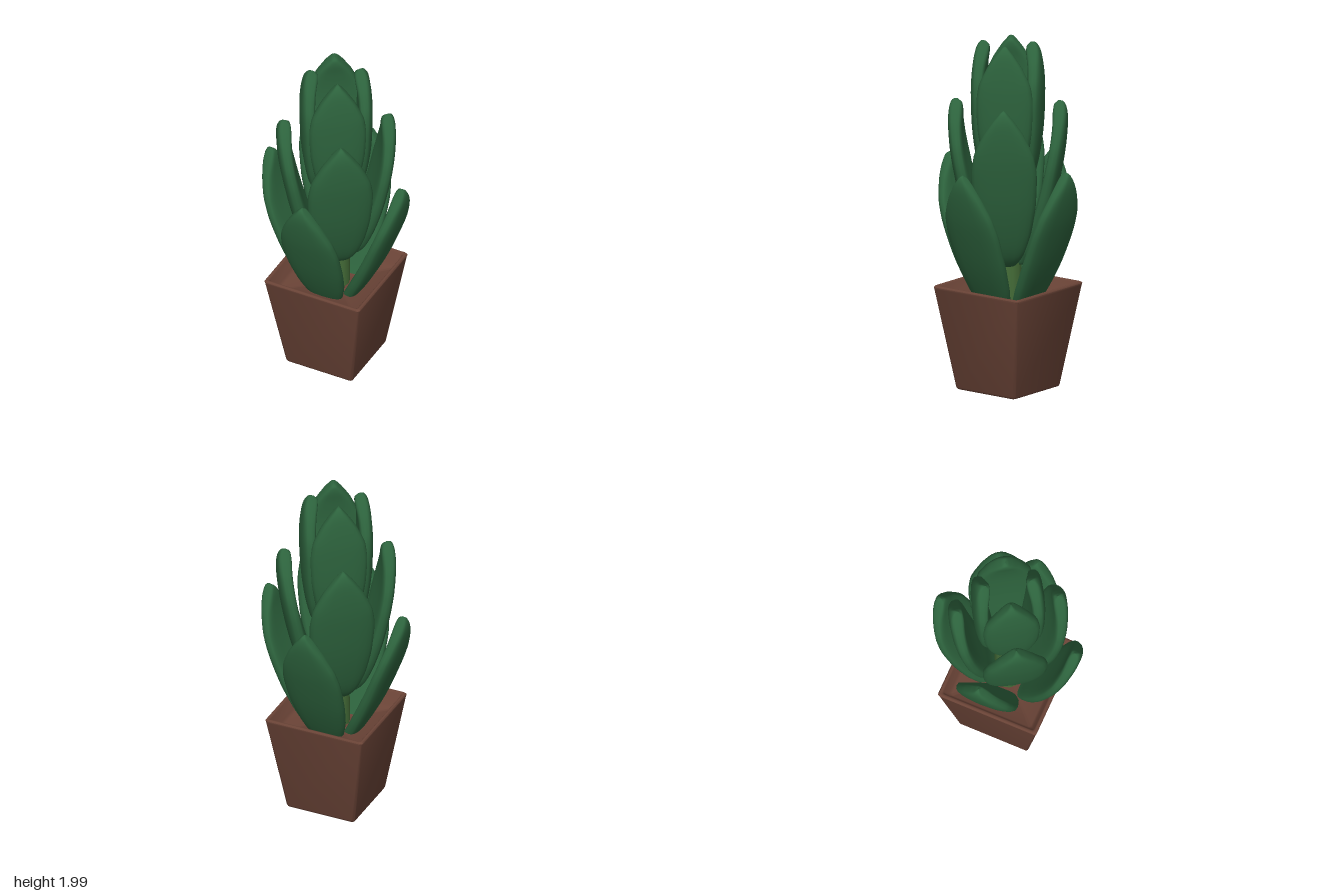
import * as THREE from 'three';
import { toCreasedNormals } from 'three/addons/utils/BufferGeometryUtils.js';

// Skin a stack of closed rings that all have the same number of points
function loft(rings) {
  const n = rings[0].length;
  const index = [];
  for (let i = 0; i < rings.length - 1; i++) {
    for (let j = 0; j < n; j++) {
      const k = (j + 1) % n;
      const a = i * n + j, b = i * n + k, c = a + n, d = b + n;
      index.push(a, c, b, b, c, d);
    }
  }
  const geometry = new THREE.BufferGeometry().setFromPoints(rings.flat());
  geometry.setIndex(index);
  geometry.computeVertexNormals();
  return geometry;
}

// Square ring with rounded corners
function squareRing(half, y) {
  const r = Math.min(0.015, half);
  const points = [];
  for (let corner = 0; corner < 4; corner++) {
    const mid = (corner + 0.5) * Math.PI / 2;
    const sx = Math.sign(Math.cos(mid)), sz = Math.sign(Math.sin(mid));
    for (let i = 0; i <= 4; i++) {
      const a = (corner + i / 4) * Math.PI / 2;
      points.push(new THREE.Vector3(
        sx * (half - r) + r * Math.cos(a), y, sz * (half - r) + r * Math.sin(a)));
    }
  }
  return points;
}

// Thick leaf growing from the origin, bowing outwards along +z
function leafGeometry(length, width, thickness) {
  // outward, up, half width, half thickness
  const stations = [
    [-0.03, 0, 0.03, 0.015], [0.015, 0.015, 0.06, 0.028], [0.062, 0.065, 0.097, 0.034],
    [0.128, 0.18, 0.137, 0.039], [0.207, 0.34, 0.165, 0.039], [0.273, 0.5, 0.173, 0.037],
    [0.315, 0.62, 0.158, 0.036], [0.345, 0.74, 0.106, 0.036], [0.357, 0.82, 0.054, 0.035],
    [0.36, 0.865, 0.018, 0.024], [0.358, 0.88, 0, 0],
  ];
  const spine = new THREE.CatmullRomCurve3(
    stations.map(([z, y]) => new THREE.Vector3(0, y * length, z * length)));
  const size = new THREE.CatmullRomCurve3(
    stations.map((s) => new THREE.Vector3(s[2] * width, s[3] * thickness, 0)));
  const soften = (v) => Math.sign(v) * Math.pow(Math.abs(v), 0.62);
  const rings = [];
  const steps = 40, sides = 20;
  for (let i = 0; i <= steps; i++) {
    const t = i / steps;
    const p = spine.getPoint(t), s = size.getPoint(t), tangent = spine.getTangent(t);
    const ring = [];
    for (let j = 0; j < sides; j++) {
      const a = j / sides * Math.PI * 2;
      const x = Math.max(s.x, 0) * soften(Math.cos(a));
      const out = Math.max(s.y, 0) * soften(Math.sin(a)) - 0.014 * (x / 0.17) ** 2;
      ring.push(new THREE.Vector3(x, p.y - tangent.z * out, p.z + tangent.y * out));
    }
    rings.push(ring);
  }
  const root = spine.getPoint(0);
  rings.unshift(rings[0].map(() => root));
  return loft(rings);
}

export function createModel() {
  const model = new THREE.Group();
  model.name = 'pottedSucculent';
  const clay = new THREE.MeshStandardMaterial({ color: 0x6b4437 });
  const green = new THREE.MeshStandardMaterial({ color: 0x2d633d });
  const olive = new THREE.MeshStandardMaterial({ color: 0x456d38 });

  const add = (name, geometry, material, parent = model) => {
    const mesh = new THREE.Mesh(geometry, material);
    mesh.name = name;
    parent.add(mesh);
    return mesh;
  };

  // Tapered square pot whose rim slopes in to the soil
  const pot = [
    [0, 0], [0.195, 0], [0.205, 0.004], [0.21, 0.015], [0.297, 0.58], [0.3, 0.592],
    [0.294, 0.6], [0.284, 0.6], [0.276, 0.592], [0.255, 0.525], [0.24, 0.512], [0, 0.51],
  ];
  add('pot', toCreasedNormals(loft(pot.map(([half, y]) => squareRing(half, y))), 0.9), clay);

  // Stem with a domed top
  const stem = [[0.08, 0.45], [0.075, 0.8], [0.075, 1.2], [0.06, 1.245], [0.03, 1.265], [0, 1.27]];
  add('stem', new THREE.LatheGeometry(stem.map(([x, y]) => new THREE.Vector2(x, y)), 12), olive);

  // Three tiers of four leaves, each tier more upright and turned
  const tiers = [
    { name: 'lowerLeaves', y: 0.42, radius: 0.05, turn: 0, tilt: 0, size: [1, 1, 1] },
    { name: 'middleLeaves', y: 0.733, radius: 0.078, turn: 33, tilt: 9.7, size: [1, 1.06, 1.12] },
    { name: 'upperLeaves', y: 1.168, radius: 0.08, turn: 31, tilt: 19, size: [0.87, 0.93, 1.1] },
  ];
  for (const { name, y, radius, turn, tilt, size } of tiers) {
    const tier = new THREE.Group();
    tier.name = name;
    const leaf = leafGeometry(...size);
    for (let i = 0; i < 4; i++) {
      const angle = THREE.MathUtils.degToRad(turn + i * 90);
      const mesh = add('leaf', leaf, green, tier);
      mesh.rotation.set(-THREE.MathUtils.degToRad(tilt), angle, 0, 'YXZ');
      mesh.position.set(radius * Math.sin(angle), y, radius * Math.cos(angle));
    }
    model.add(tier);
  }
  return model;
}
